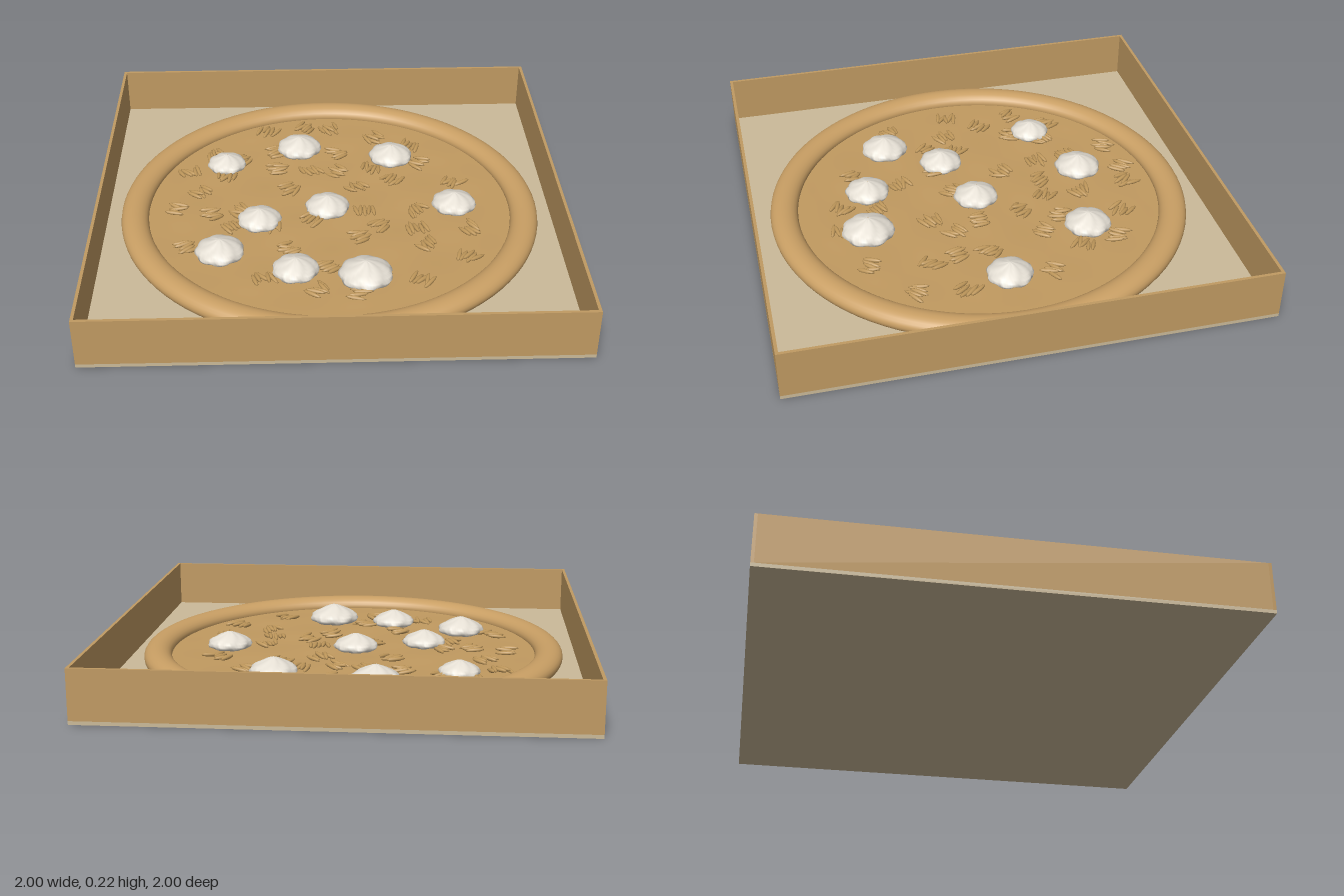
import * as THREE from 'three';
import { mergeVertices } from 'three/addons/utils/BufferGeometryUtils.js';

const mat = (name, color) => {
  const m = new THREE.MeshStandardMaterial({ color });
  m.name = name;
  return m;
};

// small seeded generator, returns -1..1
function makeRandom(seed) {
  return () => {
    seed = (seed * 16807) % 2147483647;
    return (seed / 2147483647) * 2 - 1;
  };
}

// swirled dollop of unit radius: a lathe with twisted lobes
function dollopGeometry() {
  const profile = [[0.8, 0], [0.96, 0.1], [1, 0.22], [0.94, 0.36], [0.8, 0.48], [0.64, 0.58],
    [0.46, 0.68], [0.28, 0.77], [0.12, 0.84], [0, 0.86]].map(([r, y]) => new THREE.Vector2(r, y));
  let g = new THREE.LatheGeometry(profile, 56);
  const p = g.attributes.position;
  for (let i = 0; i < p.count; i++) {
    const x = p.getX(i), y = p.getY(i), z = p.getZ(i);
    const a = Math.atan2(z, x) + y * 1.5;
    const lobe = 0.84 + 0.16 * Math.sqrt(Math.abs(Math.sin(a * 3.5)));
    p.setXYZ(i, x * lobe, y * (0.9 + 0.1 * lobe), z * lobe);
  }
  g.deleteAttribute('normal');
  g.deleteAttribute('uv');
  g = mergeVertices(g, 1e-4);
  g.computeVertexNormals();
  return g;
}

export function createModel() {
  const model = new THREE.Group();
  const cardboard = mat('cardboard', 0xc09a62);
  const lining = mat('pale lining', 0xcbba99);
  const dough = mat('baked dough', 0xc99f64);
  const cheese = mat('melted cheese', 0xc19a60);
  const shred = mat('shredded topping', 0xbd965a);
  const cream = mat('cream', 0xe4ded3);

  const add = (name, geo, material, x = 0, y = 0, z = 0, parent = model) => {
    const m = new THREE.Mesh(geo, material);
    m.name = name;
    m.position.set(x, y, z);
    parent.add(m);
    return m;
  };

  // open tray: floor plate and four thin walls
  const T = 0.013, F = 0.015, H = 0.222;
  add('boxFloor', new THREE.BoxGeometry(2, F, 2), lining, 0, F / 2, 0);
  const wallY = (H + F) / 2;
  for (const s of [-1, 1]) {
    add(s > 0 ? 'frontWall' : 'backWall', new THREE.BoxGeometry(2, H - F, T), cardboard, 0, wallY, s * (1 - T / 2));
    add(s > 0 ? 'leftWall' : 'rightWall', new THREE.BoxGeometry(T, H - F, 2 - 2 * T), cardboard, s * (1 - T / 2), wallY, 0);
  }

  // crust: flattened ring
  const crust = new THREE.TorusGeometry(0.86, 0.06, 24, 96);
  crust.scale(1, 1, 0.72).rotateX(-Math.PI / 2);
  add('crust', crust, dough, 0, 0.052, 0);

  // slightly uneven cheese surface
  const top = 0.046;
  const disc = new THREE.RingGeometry(0.001, 0.815, 80, 28).rotateX(-Math.PI / 2);
  const p = disc.attributes.position;
  for (let i = 0; i < p.count; i++) {
    const x = p.getX(i), z = p.getZ(i);
    const fade = Math.min(1, (0.815 - Math.hypot(x, z)) * 8);
    p.setY(i, 0.0025 * fade * (Math.sin(x * 13 + z * 5) * Math.cos(z * 15 - x * 4)));
  }
  disc.computeVertexNormals();
  add('cheese', disc, cheese, 0, top, 0);

  // clusters of shreds: x, z, heading in degrees
  const clusters = [
    -0.28, -0.67, 60, -0.10, -0.70, 50, 0.02, -0.68, 115, 0.235, -0.59, 130, 0.40, -0.52, 60, 0.05, -0.46, 15,
    -0.24, -0.48, 30, -0.53, -0.46, 120, -0.40, -0.41, 50, -0.47, -0.26, 70, -0.64, -0.31, 120, -0.23, -0.33, 10,
    -0.08, -0.31, 110, 0.05, -0.29, 145, 0.20, -0.32, 70, 0.29, -0.21, 60, 0.43, -0.36, 140, -0.18, -0.15, 40,
    0.13, -0.16, 125, 0.57, -0.19, 50, -0.58, -0.14, 130, -0.68, 0, 160, -0.52, 0.04, 20, -0.40, 0.02, 140,
    0.155, 0.03, 100, -0.08, 0.10, 50, -0.42, 0.15, 125, -0.26, 0.16, 95, 0.22, 0.15, 45, 0.12, 0.24, 30,
    0.375, 0.18, 115, 0.385, 0.04, 120, 0.61, 0.19, 140, 0.41, 0.30, 125, 0.57, 0.40, 60, 0.37, 0.545, 60,
    0.11, 0.63, 170, -0.06, 0.61, 145, -0.29, 0.52, 110, -0.18, 0.32, 10, -0.615, 0.29, 25, -0.02, 0.45, 40,
  ];
  const rnd = makeRandom(4711);
  const strand = new THREE.SphereGeometry(1, 10, 6).scale(0.043, 0.009, 0.0095);
  const shreds = new THREE.Group();
  shreds.name = 'shreds';
  model.add(shreds);
  for (let i = 0; i < clusters.length; i += 3) {
    const a = THREE.MathUtils.degToRad(clusters[i + 2]);
    for (let k = -2; k <= 2; k++) {
      // strands lie side by side across the heading
      const off = k * 0.019, along = rnd() * 0.018;
      const m = add('shred', strand, shred,
        clusters[i] + off * Math.sin(a) + along * Math.cos(a), top + 0.009 + 0.004 * rnd(),
        clusters[i + 1] + off * Math.cos(a) - along * Math.sin(a), shreds);
      m.rotation.set(0, a + rnd() * 0.4, rnd() * 0.15, 'YXZ');
    }
  }

  // cream dollops: x, z, radius
  const swirl = dollopGeometry();
  [[-0.13, -0.5, 0.105], [0.3, -0.415, 0.103], [-0.47, -0.365, 0.09], [-0.01, 0.01, 0.1], [0.555, 0, 0.1],
    [-0.31, 0.105, 0.098], [-0.475, 0.34, 0.107], [-0.155, 0.475, 0.1], [0.135, 0.52, 0.116]]
    .forEach(([x, z, r], i) => {
      const m = add('creamDollop', swirl, cream, x, top, z);
      m.scale.set(r, r * 0.85, r);
      m.rotation.y = i * 1.3;
    });

  return model;
}
